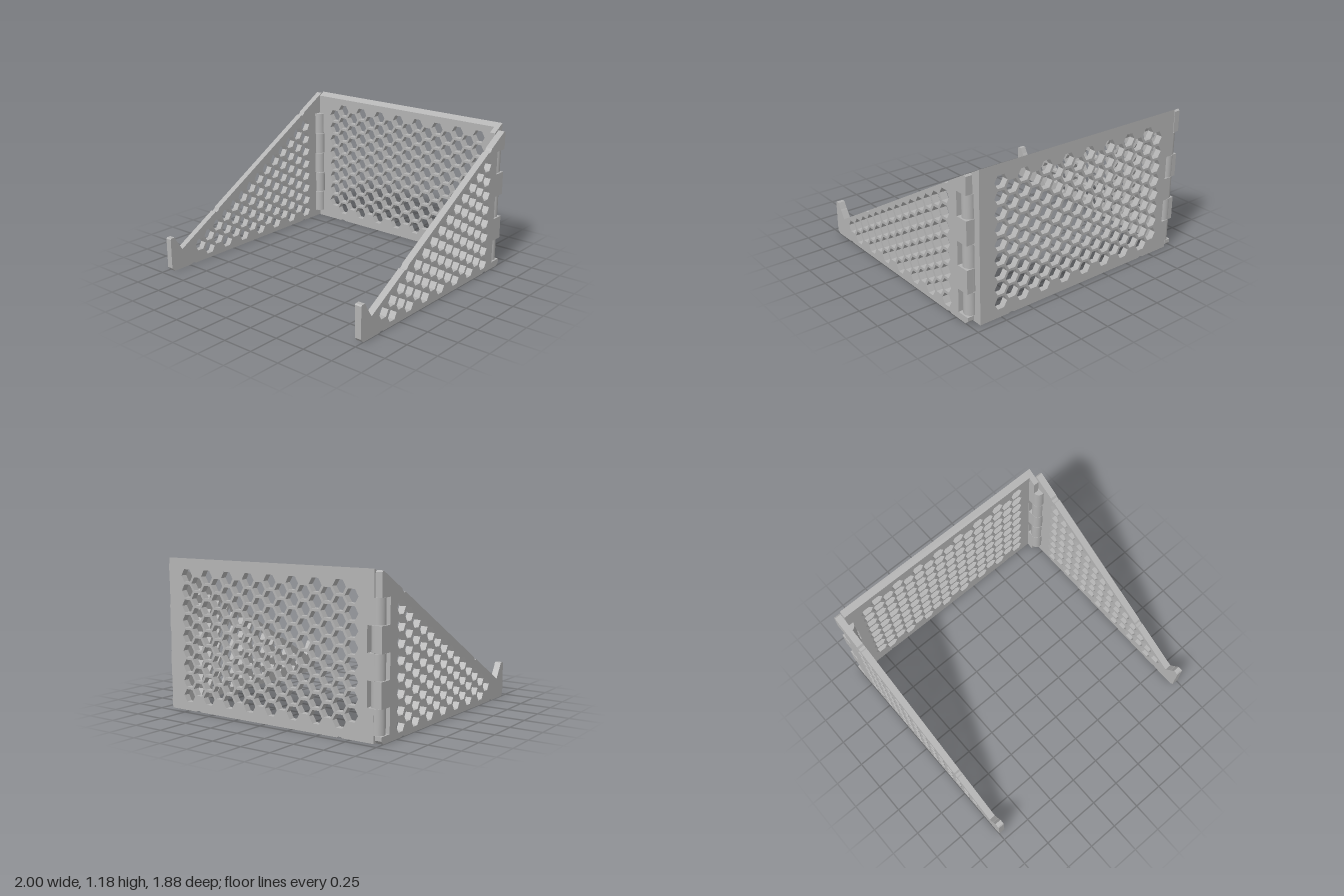
import * as THREE from 'three';

const COS30 = Math.sqrt(3) / 2;
const BACK = -0.94;                       // rear face of the back panel
const slopeY = (z) => 1.18 - (z - BACK) * 0.5774;

// Hinge knuckle spans up the height: even ones belong to the back panel, odd ones to the sides
const KNUCKLES = [0, 1, 2, 3, 4].map((i) => [0.055 + i * 0.187, 0.055 + (i + 1) * 0.187]);
const backKnuckles = KNUCKLES.filter((_, i) => i % 2 === 0);
const sideKnuckles = KNUCKLES.filter((_, i) => i % 2 === 1);

// Points up a vertical edge with rectangular cut-outs reaching to `inner`
function notchedEdge(edge, inner, spans) {
  return spans.flatMap(([a, b]) => [[edge, a], [inner, a], [inner, b], [edge, b]]);
}

// Small shallow nick in a nearly straight edge running in direction dir
function nick(at, yOf, dir, depth) {
  return [[-0.022, 0], [-0.01, depth], [0.01, depth], [0.022, 0]].map(([d, h]) => {
    const p = at + d * dir;
    return [p, yOf(p) + h];
  });
}

function makeShape(points) {
  return new THREE.Shape(points.map(([a, b]) => new THREE.Vector2(a, b)));
}

function hexHole(cx, cy, r) {
  const pts = [];
  for (let i = 0; i < 6; i++) {
    const a = (-i * Math.PI) / 3;
    pts.push(new THREE.Vector2(cx + r * Math.cos(a), cy + r * Math.sin(a)));
  }
  return new THREE.Path(pts);
}

// Extrude a (z, y) profile across x, from x0 to x1
function extrudeAcross(shape, x0, x1) {
  const geo = new THREE.ExtrudeGeometry(shape, { depth: x1 - x0, bevelEnabled: false });
  return geo.rotateY(-Math.PI / 2).translate(x1, 0, 0);
}

export function createModel() {
  const model = new THREE.Group();
  const grey = new THREE.MeshStandardMaterial({ color: 0xb3b3b3 });
  grey.name = 'plainGrey';
  const flat = () => 0;

  const add = (name, geometry) => {
    const mesh = new THREE.Mesh(geometry, grey);
    mesh.name = name;
    model.add(mesh);
    return mesh;
  };

  // Back panel with honeycomb holes and hinge cut-outs on its right-hand edge
  const panel = makeShape([
    ...nick(-0.66, flat, 1, 0.008), ...nick(0.66, flat, 1, 0.008),
    [0.89, 0], [0.89, 1.18], [-0.94, 1.18],
    ...notchedEdge(-0.94, -0.885, sideKnuckles).reverse(),
    [-0.94, 0],
  ]);
  const pitch = 0.1163;
  for (let c = 0; c < 16; c++) {
    const odd = c % 2;
    for (let r = 0; r < 8 + odd; r++) {
      panel.holes.push(hexHole(-0.758 + c * pitch * COS30, 0.117 + (r + (odd ? 0 : 0.5)) * pitch, 0.056));
    }
  }
  const panelGeo = new THREE.ExtrudeGeometry(panel, { depth: 0.05, bevelEnabled: false });
  panelGeo.translate(0, 0, BACK);
  // Slant the top edge to continue the slope of the sides
  const pos = panelGeo.attributes.position;
  for (let i = 0; i < pos.count; i++) {
    if (pos.getY(i) > 1.17) pos.setY(i, slopeY(pos.getZ(i)));
  }
  panelGeo.computeVertexNormals();
  add('backPanel', panelGeo);

  // Thicker hinge block on the other edge, offset so the sides can fold over each other
  add('hingeBlock', extrudeAcross(makeShape([
    [BACK, 0], [-0.83, 0],
    ...notchedEdge(-0.83, -0.885, sideKnuckles),
    [-0.83, slopeY(-0.83)], [BACK, 1.18],
  ]), 0.89, 0.935));

  // Triangular sides with front hooks
  const sides = [
    { name: 'leftSide', x0: 0.945, x1: 1, end: -0.88, cut: -0.773, shift: 0 },
    { name: 'rightSide', x0: -1, x1: -0.948, end: -0.938, cut: -0.833, shift: -0.06 },
  ];
  const sidePitch = 0.117;
  for (const s of sides) {
    const outline = makeShape([
      [0.914, 0], [0.938, 0.028], [0.938, 0.275], [0.93, 0.285], [0.897, 0.285],
      [0.87, 0.235], [0.862, 0.225], [0.823, 0.163],
      ...nick(0.42, slopeY, -1, -0.012), ...nick(-0.665, slopeY, -1, -0.012),
      [s.end + 0.015, slopeY(s.end + 0.015)], [s.end, slopeY(s.end) - 0.02],
      ...notchedEdge(s.end, s.cut, backKnuckles).reverse(),
      [s.end, 0.025], [s.end + 0.025, 0],
      ...nick(-0.66, flat, 1, 0.008), ...nick(0.71, flat, 1, 0.008),
    ]);
    for (let c = 0; c < 14; c++) {
      const z = 0.685 + s.shift - c * sidePitch * COS30;
      for (let y = 0.146 + (c * sidePitch) / 2; y > 0.08; y -= sidePitch) {
        outline.holes.push(hexHole(z, y, 0.055));
      }
    }
    add(s.name, extrudeAcross(outline, s.x0, s.x1));
  }

  // Hinge barrels
  for (const [name, x, z] of [['leftHinge', 0.94, -0.83], ['rightHinge', -0.945, -0.89]]) {
    const hinge = new THREE.Group();
    hinge.name = name;
    for (const [a, b] of KNUCKLES) {
      const knuckle = new THREE.Mesh(new THREE.CylinderGeometry(0.05, 0.05, b - a - 0.005, 32), grey);
      knuckle.name = 'knuckle';
      knuckle.position.set(x, (a + b) / 2, z);
      hinge.add(knuckle);
    }
    model.add(hinge);
  }
  return model;
}
